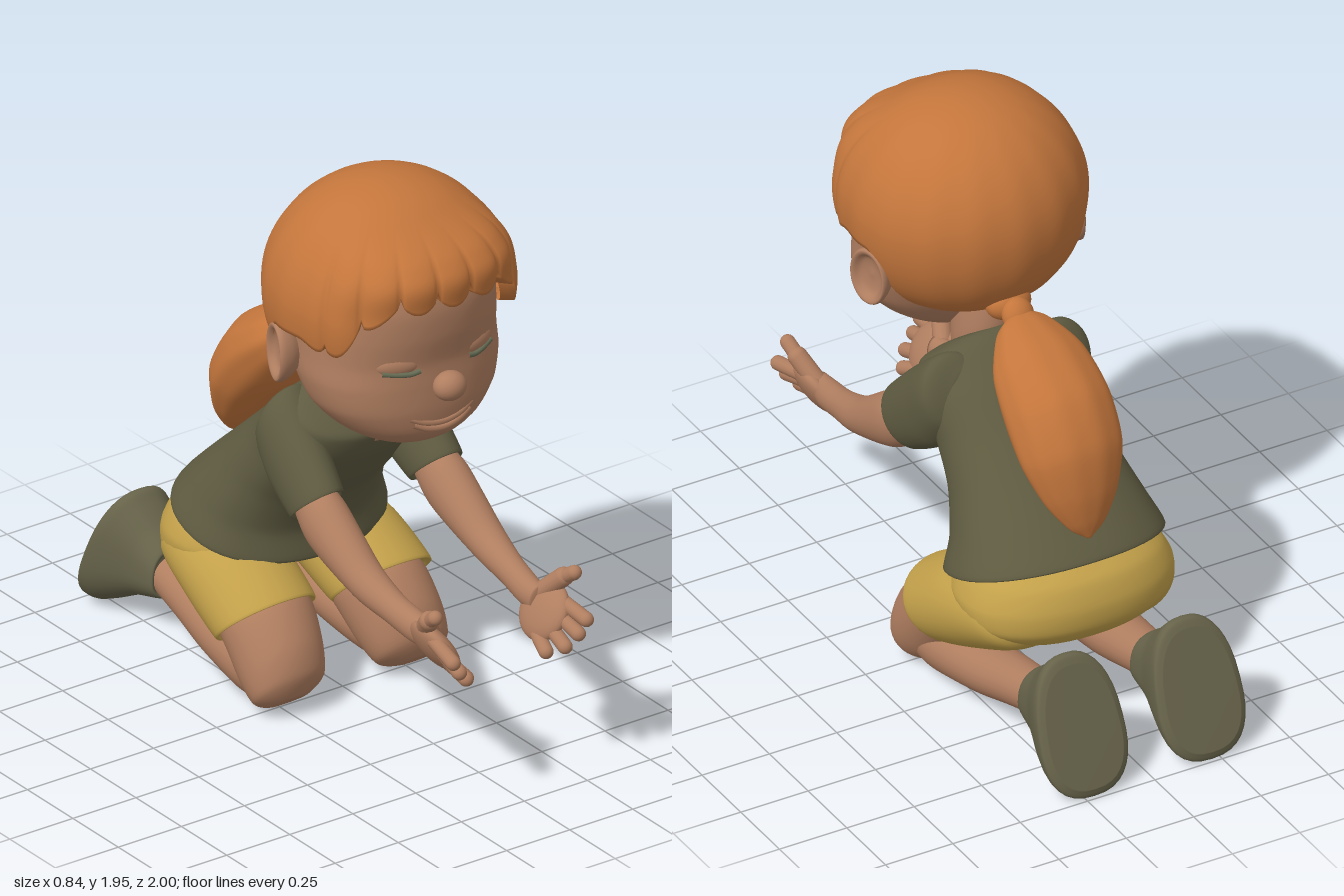
import * as THREE from 'three';

const mat = (name, color) => {
  const m = new THREE.MeshStandardMaterial({ color });
  m.name = name;
  return m;
};

// Closed-in-v grid surface from a point rule, wound so that it faces outward
function grid(nu, nv, fn) {
  const pos = [], idx = [], P = [];
  for (let i = 0; i <= nu; i++) for (let j = 0; j < nv; j++) {
    const p = fn(i, (j / nv) * Math.PI * 2);
    P.push(p);
    pos.push(p.x, p.y, p.z);
  }
  let volume = 0;
  const o = P[0], a = new THREE.Vector3(), b = new THREE.Vector3(), c = new THREE.Vector3();
  const tri = (i, j, k) => {
    idx.push(i, j, k);
    a.subVectors(P[i], o); b.subVectors(P[j], o); c.subVectors(P[k], o);
    volume += a.dot(b.cross(c));
  };
  for (let i = 0; i < nu; i++) for (let j = 0; j < nv; j++) {
    const k = (j + 1) % nv, r = i * nv, s = r + nv;
    tri(r + j, s + j, r + k);
    tri(r + k, s + j, s + k);
  }
  if (volume < 0) idx.reverse();
  const g = new THREE.BufferGeometry();
  g.setAttribute('position', new THREE.Float32BufferAttribute(pos, 3));
  g.setIndex(idx);
  g.computeVertexNormals();
  return g;
}

// Loft through rows [z1, y1, z2, y2, x, halfWidth]: two profile points and a width
function loft(rows, { side = 1, power = 2, taper = 0, ridges = 0, seg = 36 } = {}) {
  const spline = (f) => new THREE.CatmullRomCurve3(rows.map((r, i) => new THREE.Vector3(...f(r, i))), false, 'catmullrom', 0.4);
  const n = (rows.length - 1) * 6;
  const A = spline((r) => [r[4] * side, r[1], r[0]]);
  const B = spline((r) => [r[4] * side, r[3], r[2]]);
  const W = spline((r, i) => [r[5], i, 0]);
  const bend = (v) => Math.sign(v) * Math.abs(v) ** (2 / power);
  return grid(n + 2, seg, (i, th) => {
    const t = Math.min(1, Math.max(0, (i - 1) / n));
    const f = A.getPoint(t), b = B.getPoint(t), w = Math.max(0.001, W.getPoint(t).x);
    const mid = f.clone().add(b).multiplyScalar(0.5);
    if (i === 0 || i === n + 2) return mid;
    const k = 1 + (ridges ? 0.01 * Math.cos(ridges * th) : 0), s = bend(Math.sin(th)) * k;
    mid.addScaledVector(f.sub(b), s / 2);
    mid.x += bend(Math.cos(th)) * w * k * (1 - taper * s);
    return mid;
  });
}

export function createModel() {
  const root = new THREE.Group();
  root.name = 'kneelingChild';
  const skin = mat('skin', 0xb07e60), hair = mat('hair', 0xc4763c), shirt = mat('shirt', 0x5f5b41);
  const shorts = mat('shorts', 0xc2a04a), shoe = mat('shoe', 0x67634a), lash = mat('lash', 0x666c54);
  hair.side = THREE.DoubleSide;

  const add = (name, geo, m) => {
    const mesh = new THREE.Mesh(geo, m);
    mesh.name = name;
    root.add(mesh);
    return mesh;
  };
  const ball = (name, m, p, r, rot = [0, 0, 0]) => {
    const e = add(name, new THREE.SphereGeometry(1, 28, 20), m);
    e.scale.set(...r);
    e.position.set(...p);
    e.rotation.set(...rot);
  };
  const capsule = (name, m, a, b, r) => {
    const p = new THREE.Vector3(...a), d = new THREE.Vector3(...b).sub(p);
    const e = add(name, new THREE.CapsuleGeometry(r, d.length(), 6, 14), m);
    e.position.copy(p).addScaledVector(d, 0.5);
    e.quaternion.setFromUnitVectors(new THREE.Vector3(0, 1, 0), d.normalize());
  };
  // Thin line laid on the face: [x, y] points on an arc of depth h and half width w
  const faceLine = (name, m, pts, [zc, h, w], r) => {
    const path = new THREE.CatmullRomCurve3(pts.map(([x, y]) =>
      new THREE.Vector3(x, y, zc + h * (1 - Math.abs(x / w) ** 2.2) ** (1 / 2.2))));
    add(name, new THREE.TubeGeometry(path, 20, r, 8), m);
  };

  // Shirt body, neck and seat of the shorts
  add('shirtBody', loft([
    [-0.13, 0.48, -0.58, 0.62, 0, 0.33], [-0.085, 0.45, -0.615, 0.632, 0, 0.375],
    [-0.085, 0.56, -0.53, 0.72, 0, 0.335], [-0.02, 0.69, -0.40, 0.84, 0, 0.29],
    [0.08, 0.80, -0.27, 0.96, 0, 0.27], [0.17, 0.92, -0.15, 1.07, 0, 0.27],
    [0.205, 1.0, -0.04, 1.155, 0, 0.24], [0.2, 1.03, 0.01, 1.175, 0, 0.165],
    [0.19, 1.045, 0.04, 1.165, 0, 0.11]], { power: 2.2, seg: 48 }), shirt);
  add('neck', loft([[0.2, 0.98, 0.02, 1.1, 0, 0.09], [0.215, 1.03, 0.02, 1.17, 0, 0.1],
    [0.22, 1.12, 0.03, 1.22, 0, 0.1], [0.24, 1.24, 0.05, 1.28, 0, 0.1]]), skin);
  add('shortsSeat', loft([
    [-0.14, 0.52, -0.56, 0.62, 0, 0.31], [-0.12, 0.48, -0.635, 0.57, 0, 0.35],
    [-0.13, 0.45, -0.67, 0.49, 0, 0.375], [-0.18, 0.41, -0.665, 0.41, 0, 0.365],
    [-0.26, 0.39, -0.61, 0.345, 0, 0.31], [-0.35, 0.37, -0.52, 0.33, 0, 0.2]], { power: 2.2, seg: 48 }), shorts);

  // Head
  add('head', loft([
    [0.38, 1.10, 0.34, 1.10, 0, 0.02], [0.5, 1.115, 0.2, 1.105, 0, 0.15],
    [0.55, 1.17, 0.12, 1.17, 0, 0.25], [0.565, 1.25, 0.07, 1.25, 0, 0.318],
    [0.565, 1.34, 0.02, 1.34, 0, 0.345], [0.563, 1.42, -0.03, 1.42, 0, 0.346],
    [0.58, 1.52, -0.09, 1.52, 0, 0.345], [0.582, 1.62, -0.10, 1.62, 0, 0.335],
    [0.55, 1.72, -0.07, 1.72, 0, 0.3], [0.45, 1.82, 0.02, 1.82, 0, 0.2],
    [0.26, 1.86, 0.2, 1.86, 0, 0.02]], { power: 2.2, seg: 48 }), skin);
  ball('nose', skin, [0, 1.34, 0.59], [0.058, 0.05, 0.05]);

  // Smiling lips, meeting in a crease
  [['upperLip', 0.01, 0.12], ['lowerLip', -0.012, 0.11]].forEach(([name, dy, w]) =>
    faceLine(name, skin, [-1, -0.55, 0, 0.55, 1].map((u) => [u * w, 1.19 + dy + 0.032 * u * u]),
      [0.307, 0.247, 0.295], 0.012));

  // Hair cap with a puffed, scalloped fringe; edge height varies around the head
  const step = THREE.MathUtils.smoothstep, NU = 44;
  add('hairCap', grid(NU + 2, 240, (i, ang) => {
    const phi = Math.abs(ang > Math.PI ? ang - Math.PI * 2 : ang);
    const front = 1 - step(phi, 0.9, 1.4);
    const lobe = Math.sqrt(Math.abs(Math.cos(phi * 10)));
    const edge = 1.70 - 0.19 * step(phi, 0.5, 1.15) - 0.24 * step(phi, 1.7, 2.1) - 0.06 * front * lobe;
    const low = Math.acos((edge - 1.58) / (edge < 1.58 ? 0.36 : 0.375));
    const th = low * Math.min(1, i / NU), c = Math.cos(th), s = Math.sin(th);
    const y = 1.58 + c * (c < 0 ? 0.36 : 0.375);
    const tuck = i > NU ? 1 - 0.06 * (i - NU) : 1;
    const puff = (1 - step(y, 1.79, 1.89)) * (0.03 + 0.97 * step(y, 1.62, 1.76)) * (1 - step(phi, 0.35, 1.25));
    const square = phi < Math.PI / 2 ? 0.05 * Math.sin(2 * phi) ** 2 * s : 0;
    const k = (c < 0 ? s ** 0.7 : s) * tuck * (1 + 0.13 * puff + square
      + front * step(th, 0.6, 1.2) * (0.05 * lobe - 0.02) + (1 - front) * 0.004 * Math.cos(phi * 16) * s);
    return new THREE.Vector3(0.405 * k * Math.sin(ang), y, 0.23 + 0.385 * k * Math.cos(ang));
  }), hair);

  // Ponytail
  ball('hairTie', hair, [0, 1.295, -0.115], [0.055, 0.06, 0.042], [0.5, 0, 0]);
  ball('ponytailRoot', hair, [0, 1.31, -0.05], [0.08, 0.06, 0.06]);
  add('ponytail', loft([
    [-0.12, 1.32, -0.1, 1.25, 0, 0.035], [-0.17, 1.315, -0.13, 1.2, 0, 0.1],
    [-0.31, 1.28, -0.19, 1.09, 0, 0.165], [-0.475, 1.18, -0.26, 0.99, 0, 0.185],
    [-0.57, 1.03, -0.36, 0.89, 0, 0.178], [-0.595, 0.88, -0.46, 0.79, 0, 0.13],
    [-0.592, 0.77, -0.54, 0.72, 0, 0.065], [-0.58, 0.70, -0.572, 0.70, 0, 0.008]],
  { ridges: 10, seg: 80 }), hair);

  // Cupped ear section, from its root out to the rim and into the hollow
  const earProfile = [[0.55, -0.05], [0.85, -0.02], [1, 0.012], [0.96, 0.03], [0.82, 0.028], [0.62, 0.01], [0.3, 0.003], [0, 0.004]]
    .map(([r, h]) => new THREE.Vector2(r * 0.09, h));

  for (const side of [1, -1]) {
    const tag = side > 0 ? 'left' : 'right';
    const at = (x, y, z) => [x * side, y, z];
    const part = (name, m, rows, opts) => add(tag + name, loft(rows, { side, ...opts }), m);

    // Ear and closed eye
    const ear = add(tag + 'Ear', new THREE.LatheGeometry(new THREE.SplineCurve(earProfile).getPoints(28), 32), skin);
    ear.scale.set(1.15, 1, 0.85);
    ear.position.set(...at(0.368, 1.405, 0.18));
    ear.rotation.set(0, 0.3 * side, -Math.PI / 2 * side);
    ball(tag + 'Eyelid', skin, at(0.155, 1.43, 0.515), [0.08, 0.04, 0.03], [0, 0.35 * side, 0]);
    faceLine(tag + 'Lashes', lash, [[0.095, 1.408], [0.125, 1.402], [0.16, 1.404], [0.215, 1.412]].map(([x, y]) => [x * side, y]),
      [0.267, 0.3, 0.348], 0.009);

    // Sleeve and arm
    part('Sleeve', shirt, [
      [-0.1, 0.98, -0.06, 1.1, 0.15, 0.06], [-0.09, 0.91, 0.0, 1.15, 0.2, 0.108],
      [-0.02, 0.81, 0.12, 1.05, 0.223, 0.1], [0.10, 0.735, 0.265, 0.9, 0.235, 0.088],
      [0.105, 0.755, 0.25, 0.89, 0.235, 0.075]]);
    part('Arm', skin, [
      [0.08, 0.79, 0.2, 0.9, 0.235, 0.06], [0.22, 0.675, 0.28, 0.865, 0.24, 0.08],
      [0.46, 0.59, 0.47, 0.725, 0.24, 0.065], [0.60, 0.56, 0.61, 0.665, 0.232, 0.05],
      [0.71, 0.535, 0.715, 0.64, 0.222, 0.046], [0.78, 0.53, 0.79, 0.63, 0.216, 0.036]]);

    // Hand with palm turned inward and up
    ball(tag + 'Palm', skin, at(0.216, 0.555, 0.81), [0.04, 0.103, 0.108], [0, 0, -0.55 * side]);
    [[[0.25, 0.6, 0.85], [0.264, 0.575, 0.975]], [[0.23, 0.56, 0.87], [0.236, 0.53, 0.97]],
      [[0.203, 0.52, 0.86], [0.196, 0.488, 0.952]], [[0.175, 0.488, 0.83], [0.158, 0.46, 0.9]],
    ].forEach(([a, b], i) => capsule(tag + 'Finger' + (i + 1), skin, at(...a), at(...b), 0.025));
    capsule(tag + 'ThumbBase', skin, at(0.235, 0.61, 0.78), at(0.266, 0.675, 0.845), 0.033);
    capsule(tag + 'ThumbTip', skin, at(0.266, 0.675, 0.845), at(0.276, 0.707, 0.892), 0.025);

    // Shorts leg, thigh with knee, and shin
    part('ShortsLeg', shorts, [
      [-0.6, 0.42, -0.5, 0.52, 0.19, 0.08], [-0.56, 0.335, -0.4, 0.55, 0.2, 0.165],
      [-0.40, 0.25, -0.18, 0.50, 0.217, 0.183], [-0.22, 0.175, 0.0, 0.395, 0.229, 0.183],
      [-0.215, 0.195, -0.02, 0.38, 0.229, 0.16]]);
    part('Thigh', skin, [
      [-0.32, 0.22, -0.15, 0.43, 0.215, 0.14], [-0.2, 0.15, -0.01, 0.382, 0.222, 0.16],
      [-0.1, 0.05, 0.085, 0.27, 0.236, 0.15], [-0.03, 0.012, 0.118, 0.17, 0.245, 0.13],
      [0.02, 0.025, 0.10, 0.09, 0.255, 0.07], [0.05, 0.05, 0.07, 0.065, 0.255, 0.01]]);
    part('Shin', skin, [
      [0.06, 0.06, 0.05, 0.16, 0.25, 0.045], [0.0, 0.018, -0.03, 0.22, 0.25, 0.095],
      [-0.13, 0.015, -0.13, 0.22, 0.24, 0.112], [-0.35, 0.05, -0.33, 0.225, 0.225, 0.1],
      [-0.52, 0.095, -0.5, 0.25, 0.215, 0.085], [-0.69, 0.14, -0.69, 0.28, 0.21, 0.07]]);

    // Shoe, from ankle opening back to the sole
    part('Shoe', shoe, [
      [-0.65, 0.285, -0.65, 0.15, 0.208, 0.07], [-0.637, 0.31, -0.637, 0.13, 0.208, 0.092],
      [-0.70, 0.36, -0.76, 0.095, 0.212, 0.108], [-0.76, 0.42, -0.87, 0.04, 0.216, 0.136],
      [-0.79, 0.45, -0.94, 0.01, 0.218, 0.15], [-0.815, 0.45, -0.99, 0.012, 0.218, 0.154],
      [-0.835, 0.425, -0.998, 0.045, 0.218, 0.13]], { taper: 0.1, power: 2.5 });
  }
  return root;
}
